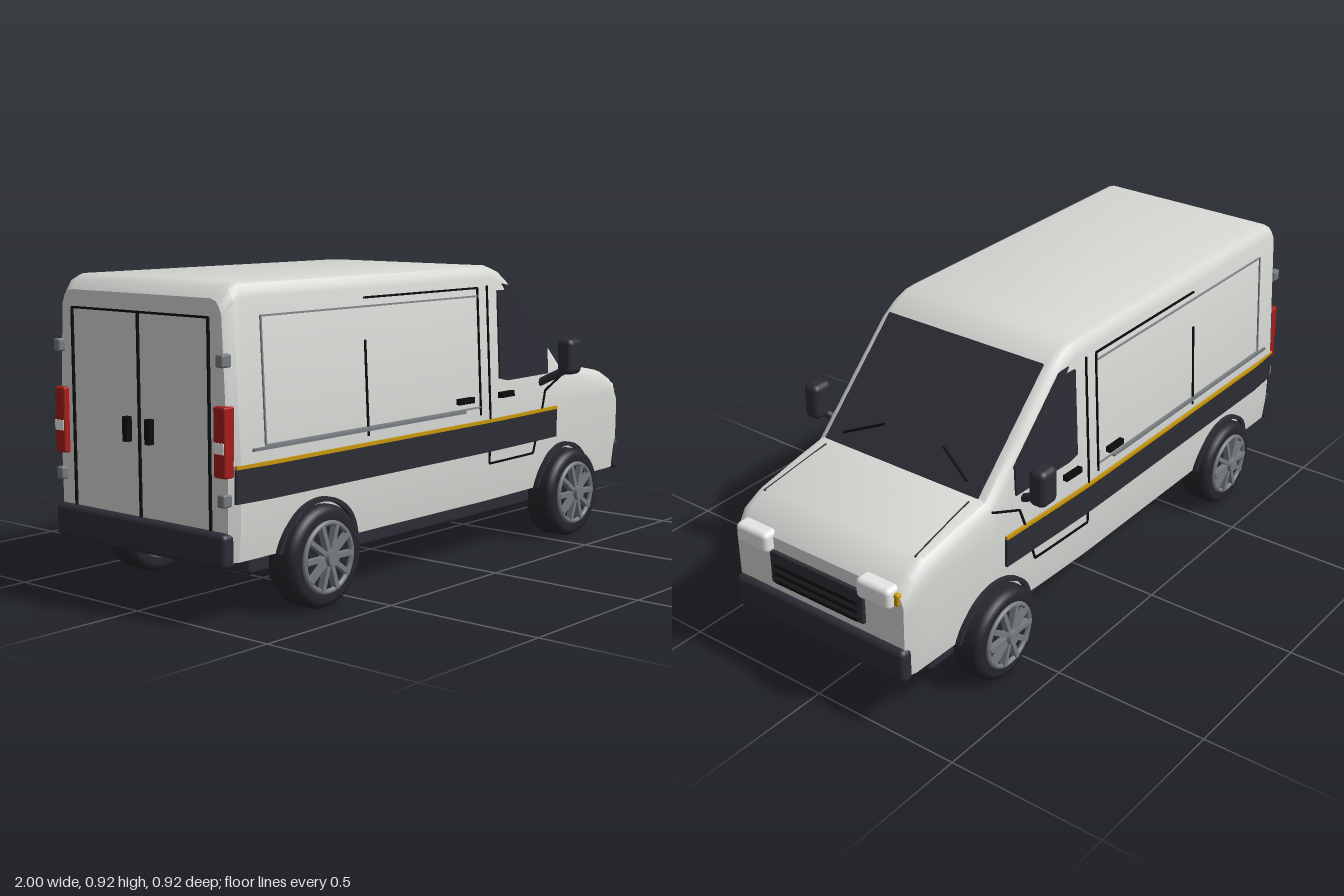
import * as THREE from 'three';
import { toCreasedNormals } from 'three/addons/utils/BufferGeometryUtils.js';
import { RoundedBoxGeometry } from 'three/addons/geometries/RoundedBoxGeometry.js';

const mat = (name, color) => Object.assign(new THREE.MeshStandardMaterial({ color }), { name });
const paint = mat('body paint', 0xd6d8d4), dark = mat('dark trim', 0x2c2c35), black = mat('seam black', 0x0b0b0d),
  tyreMat = mat('tyre rubber', 0x25252b), rimMat = mat('rim grey', 0x747a80), lamp = mat('headlight white', 0xe6e8e6),
  amber = mat('amber', 0xc9980f), red = mat('tail light red', 0xa51c1c), greyLine = mat('panel line grey', 0x83878a);

// piecewise linear lookup
function lerpTable(t, v) {
  if (v <= t[0][0]) return t[0][1];
  for (let i = 1; i < t.length; i++) {
    const [a, p] = t[i - 1], [b, q] = t[i];
    if (v <= b) return p + (q - p) * (v - a) / (b - a);
  }
  return t[t.length - 1][1];
}
// half width of the body at any point of its side
const sideByHeight = [[0.18, 0.345], [0.26, 0.354], [0.45, 0.357], [0.88, 0.336]];
const sideByLength = [[-0.975, 0.95], [-0.945, 1], [0.15, 1], [0.3, 0.985], [0.61, 0.945], [0.93, 0.925], [0.97, 0.89]];
const sideZ = (x, y) => lerpTable(sideByHeight, y) * lerpTable(sideByLength, x);
// roof, windscreen and bonnet line
const topLine = [[-0.975, 0.88], [-0.945, 0.908], [-0.915, 0.922], [0.15, 0.922], [0.2, 0.92], [0.25, 0.904],
  [0.3, 0.872], [0.45, 0.727], [0.605, 0.577], [0.7, 0.562], [0.87, 0.53], [0.93, 0.5], [0.97, 0.46]];

function bodyGeometry() {
  const pos = [], idx = [];
  let n = 0;
  for (const [x, top] of topLine) {
    const half = [[0.18, 0], [0.26, 0], [Math.min(0.45, top - 0.08), 0], [top - 0.042, 0], [top - 0.02, 0.008], [top - 0.006, 0.02], [top, 0.038]]
      .map(([y, inset]) => [y, sideZ(x, y) - inset]);
    const ring = [...half, ...half.slice().reverse().map(([y, z]) => [y, -z])];
    n = ring.length;
    ring.forEach(([y, z]) => pos.push(x, y, z));
  }
  const last = topLine.length - 1;
  for (let i = 0; i < last; i++) for (let j = 0; j < n; j++) {
    const k = (j + 1) % n, a = i * n + j, b = a + n, c = (i + 1) * n + k, d = i * n + k;
    idx.push(a, b, c, a, c, d);
  }
  for (let j = 1; j < n - 1; j++) {
    idx.push(0, j, j + 1);
    idx.push(last * n, last * n + j + 1, last * n + j);
  }
  const g = new THREE.BufferGeometry();
  g.setAttribute('position', new THREE.Float32BufferAttribute(pos, 3));
  g.setIndex(idx);
  return toCreasedNormals(g, 0.5);
}

// push a flat plate onto the body side s (+1 or -1)
function wrap(g, s) {
  const p = g.attributes.position;
  for (let i = 0; i < p.count; i++) p.setZ(i, p.getZ(i) + s * sideZ(p.getX(i), p.getY(i)));
  g.computeVertexNormals();
  return g;
}

export function createModel() {
  const van = new THREE.Group();
  van.name = 'deliveryVan';
  const add = (name, g, m, x = 0, y = 0, z = 0, parent = van) => {
    const mesh = new THREE.Mesh(g, m);
    mesh.name = name;
    mesh.position.set(x, y, z);
    parent.add(mesh);
    return mesh;
  };
  const box = (name, m, x0, x1, y0, y1, z0, z1, r = 0) => {
    const w = x1 - x0, h = y1 - y0, d = Math.abs(z1 - z0);
    return add(name, r ? new RoundedBoxGeometry(w, h, d, 3, r) : new THREE.BoxGeometry(w, h, d), m,
      (x0 + x1) / 2, (y0 + y1) / 2, (z0 + z1) / 2);
  };
  // straight bar between two points
  const bar = (name, m, a, b, r) => {
    const p = new THREE.Vector3(...a), q = new THREE.Vector3(...b);
    const mesh = add(name, new THREE.CylinderGeometry(r, r, p.distanceTo(q), 10), m);
    mesh.position.copy(p).lerp(q, 0.5);
    mesh.quaternion.setFromUnitVectors(new THREE.Vector3(0, 1, 0), q.sub(p).normalize());
  };
  // thin strip on the body side
  const strip = (name, m, s, x0, y0, x1, y1, w = 0.006, t = 0.009) => {
    const g = new THREE.BoxGeometry(Math.hypot(x1 - x0, y1 - y0), w, t, 12, 2, 1);
    g.rotateZ(Math.atan2(y1 - y0, x1 - x0)).translate((x0 + x1) / 2, (y0 + y1) / 2, 0);
    add(name, wrap(g, s), m);
  };

  // shell and underside
  add('bodyShell', bodyGeometry(), paint);
  box('chassisSkirt', dark, -0.86, 0.85, 0.12, 0.2, -0.3, 0.3, 0.015);
  box('floorPan', black, -0.84, 0.83, 0.117, 0.125, -0.28, 0.28);
  box('frontBumper', dark, 0.945, 0.99, 0.172, 0.28, -0.325, 0.325, 0.018);
  box('rearBumper', dark, -1, -0.955, 0.165, 0.262, -0.345, 0.345, 0.016);

  // windscreen and wipers
  const slope = Math.atan2(-0.297, 0.308);
  const glass = add('windscreen', new THREE.BoxGeometry(0.43, 0.009, 0.58), dark, 0.457, 0.73, 0);
  glass.rotation.z = slope;
  const onGlass = (y, z) => [0.3 + (0.88 - y) * 1.037 + 0.006, y + 0.004, z];
  for (const s of [1, -1]) bar('wiper', black, onGlass(0.605, s * 0.236), onGlass(0.652, s * 0.113), 0.004);

  // grille
  box('grille', dark, 0.955, 0.982, 0.31, 0.418, -0.177, 0.177, 0.005);
  for (const y of [0.32, 0.347, 0.375]) box('grilleSlat', black, 0.978, 0.987, y - 0.004, y + 0.004, -0.157, 0.157);

  // rear door seams
  box('rearDoorCentreSeam', black, -0.982, -0.974, 0.25, 0.83, -0.003, 0.003);
  box('rearDoorTopSeam', black, -0.982, -0.974, 0.827, 0.833, -0.275, 0.275);

  for (const s of [1, -1]) {
    // stripe and load-bay panel
    strip('sideStripe', dark, s, -0.96, 0.386, 0.55, 0.386, 0.094, 0.016);
    strip('sideStripeEdge', amber, s, -0.96, 0.437, 0.55, 0.437, 0.01, 0.018);
    strip('panelTopLine', greyLine, s, -0.85, 0.83, 0.11, 0.83, 0.005);
    strip('panelBottomLine', greyLine, s, -0.85, 0.485, 0.11, 0.485, 0.005);
    strip('panelRearLine', greyLine, s, -0.85, 0.485, -0.85, 0.83, 0.005);
    strip('slidingRail', rimMat, s, -0.9, 0.478, 0.03, 0.478, 0.008, 0.014);
    // door seams
    const seams = [[-0.43, 0.855, 0.11, 0.855], [0.11, 0.46, 0.11, 0.855], [-0.43, 0.46, -0.43, 0.735],
      [0.16, 0.3, 0.16, 0.86], [0.16, 0.3, 0.415, 0.3], [0.415, 0.3, 0.46, 0.43], [0.46, 0.43, 0.485, 0.5], [0.485, 0.5, 0.6, 0.545]];
    for (const l of seams) strip('doorSeam', black, s, ...l);
    for (const x of [0.027, 0.245]) strip('doorHandle', black, s, x - 0.037, 0.513, x + 0.037, 0.513, 0.018, 0.03);

    // cab side window
    const shape = new THREE.Shape([[0.215, 0.565], [0.26, 0.555], [0.5, 0.555], [0.5, 0.645], [0.285, 0.855], [0.245, 0.862], [0.262, 0.842], [0.215, 0.842]]
      .map(p => new THREE.Vector2(...p)));
    const win = new THREE.ExtrudeGeometry(shape, { depth: 0.009, bevelEnabled: false });
    add('cabSideWindow', wrap(win.translate(0, 0, s > 0 ? -0.003 : -0.006), s), dark);

    // door mirror
    box('mirrorHead', dark, 0.455, 0.53, 0.56, 0.677, s * 0.402, s * 0.46, 0.02);
    bar('mirrorArm', dark, [0.48, 0.572, s * 0.42], [0.46, 0.525, s * 0.33], 0.013);

    // bonnet seam
    bar('bonnetSeam', black, [0.63, 0.573, s * 0.273], [0.88, 0.527, s * 0.287], 0.003);

    // front and rear lamps
    box('headlight', lamp, 0.945, 1, 0.41, 0.477, s * 0.168, s * 0.292, 0.016);
    box('indicator', amber, 0.945, 0.978, 0.42, 0.46, s * 0.28, s * 0.306, 0.006);
    box('tailLight', red, -0.993, -0.955, 0.41, 0.6, s * 0.302, s * 0.347, 0.006);
    box('reverseLight', lamp, -0.995, -0.96, 0.475, 0.505, s * 0.306, s * 0.343);
    for (const y of [0.72, 0.35]) box('rearHinge', rimMat, -0.995, -0.96, y - 0.018, y + 0.018, s * 0.315, s * 0.343, 0.006);
    box('rearDoorSideSeam', black, -0.982, -0.974, 0.25, 0.83, s * 0.272, s * 0.278);
    box('rearDoorHandle', black, -0.993, -0.974, 0.47, 0.54, s * 0.035, s * 0.055);

    for (const x of [-0.64, 0.6]) {
      // wheel arch
      const arch = new THREE.Shape();
      arch.absarc(x, 0.147, 0.167, 0.2, Math.PI - 0.2, false);
      arch.absarc(x, 0.147, 0.154, Math.PI - 0.2, 0.2, true);
      const ag = new THREE.ExtrudeGeometry(arch, { depth: 0.03, bevelEnabled: false, curveSegments: 24 });
      add('wheelArch', wrap(ag.translate(0, 0, -0.015), s), dark);

      // wheel, axle along local y
      const wheel = new THREE.Group();
      wheel.name = 'wheel';
      wheel.position.set(x, 0.147, s * 0.338);
      wheel.rotation.x = s * Math.PI / 2;
      van.add(wheel);
      const tyre = [[0.1, -0.05], [0.125, -0.053], [0.139, -0.047], [0.147, -0.032], [0.147, 0.032], [0.139, 0.047], [0.125, 0.053], [0.1, 0.05]]
        .map(p => new THREE.Vector2(...p));
      add('tyre', new THREE.LatheGeometry(tyre, 40), tyreMat, 0, 0, 0, wheel);
      add('rimBack', new THREE.CylinderGeometry(0.101, 0.101, 0.08, 32), tyreMat, 0, 0, 0, wheel);
      for (const y of [0.052, -0.046]) {
        const ring = add('rimRing', new THREE.TorusGeometry(0.097, 0.008, 8, 40), rimMat, 0, y, 0, wheel);
        ring.rotation.x = Math.PI / 2;
      }
      add('hub', new THREE.CylinderGeometry(0.022, 0.028, 0.04, 20), rimMat, 0, 0.055, 0, wheel);
      for (let i = 0; i < 10; i++) {
        const spoke = new THREE.BoxGeometry(0.08, 0.02, 0.014).translate(0.057, 0.053, 0);
        add('spoke', spoke, rimMat, 0, 0, 0, wheel).rotation.y = i * Math.PI / 5;
      }
    }
  }
  return van;
}
